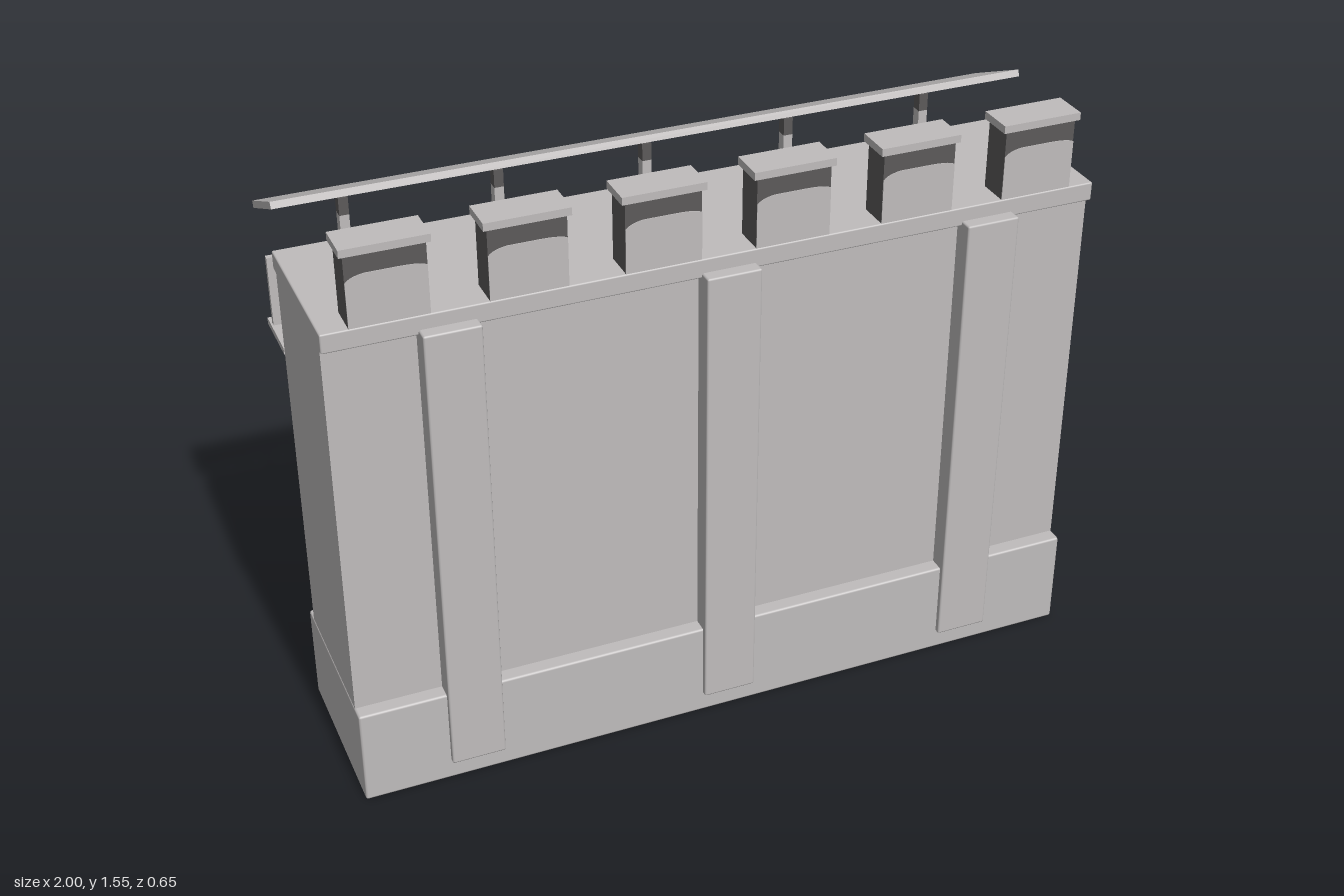
import * as THREE from 'three';
import { RoundedBoxGeometry } from 'three/addons/geometries/RoundedBoxGeometry.js';

export function createModel() {
  const group = new THREE.Group();
  const stone = new THREE.MeshStandardMaterial({ color: 0xbfbcbc });
  stone.name = 'stone grey';
  const dark = new THREE.MeshStandardMaterial({ color: 0x5c5a5a });
  dark.name = 'dark grey';

  const add = (name, geometry, material = stone, parent = group) => {
    const mesh = new THREE.Mesh(geometry, material);
    mesh.name = name;
    parent.add(mesh);
    return mesh;
  };
  // Box given by its x centre and width, and its y and z ranges; bevel is optional
  const block = (name, x, w, y0, y1, z0, z1, material = stone, bevel = 0, parent = group) => {
    const h = y1 - y0, d = z1 - z0;
    const geometry = bevel
      ? new RoundedBoxGeometry(w, h, d, 1, bevel)
      : new THREE.BoxGeometry(w, h, d);
    const mesh = add(name, geometry, material, parent);
    mesh.position.set(x, (y0 + y1) / 2, (z0 + z1) / 2);
    return mesh;
  };
  // Side profile in (z, y), extruded along x and centred on x
  const profile = (name, shape, x, w, parent) => {
    const geometry = new THREE.ExtrudeGeometry(shape, { depth: w, bevelEnabled: false, curveSegments: 6 });
    geometry.translate(0, 0, -w / 2).rotateY(-Math.PI / 2);
    add(name, geometry, stone, parent).position.x = x;
  };

  // Main wall
  block('base', 0, 2, 0, 0.268, -0.17, 0.31, stone, 0.006);
  block('wall', 0, 1.996, 0.26, 1.305, -0.13, 0.27);
  block('wallCap', 0, 2, 1.302, 1.352, -0.15, 0.29, stone, 0.004);
  for (const x of [-0.7, 0, 0.7])
    block('pilaster', x, 0.143, 0.055, 1.315, 0.25, 0.325, stone, 0.005);

  // Battlements: dark blocks with a pale lower front and a pale cap
  const face = new THREE.Shape();
  face.moveTo(-0.0965, 0);
  face.lineTo(0.0965, 0);
  face.lineTo(0.0965, 0.125);
  face.quadraticCurveTo(0.08, 0.134, 0.03, 0.134);
  face.lineTo(-0.05, 0.134);
  face.quadraticCurveTo(-0.085, 0.13, -0.0965, 0.115);
  const faceGeometry = new THREE.ExtrudeGeometry(face, { depth: 0.003, bevelEnabled: false, curveSegments: 5 });
  for (let i = 0; i < 6; i++) {
    const x = (i - 2.5) * 0.334;
    const merlon = new THREE.Group();
    merlon.name = 'merlon';
    group.add(merlon);
    block('merlonBlock', x, 0.193, 1.35, 1.537, 0.203, 0.286, dark, 0, merlon);
    add('merlonFace', faceGeometry, stone, merlon).position.set(x, 1.352, 0.285);
    block('merlonCap', x, 0.213, 1.535, 1.555, 0.195, 0.293, stone, 0, merlon);
  }

  // Walkway along the back with its parapet
  block('walkway', 0, 2, 1.075, 1.092, -0.295, -0.13);
  block('parapet', 0, 1.99, 1.09, 1.28, -0.265, -0.25);

  // Sloping roof
  const roof = add('roof', new THREE.BoxGeometry(2, 0.018, 0.236));
  roof.position.set(0, 1.445, -0.21);
  roof.rotation.x = -0.42;

  // Bracket profiles
  const wedge = new THREE.Shape([
    [-0.13, 1.04], [-0.247, 1.04], [-0.247, 1.026], [-0.2, 1.006], [-0.13, 1.02],
  ].map(([z, y]) => new THREE.Vector2(z, y)));
  const brace = new THREE.Shape();
  brace.moveTo(-0.235, 1.018);
  brace.quadraticCurveTo(-0.155, 0.99, -0.148, 0.922);
  brace.lineTo(-0.13, 0.922);
  brace.quadraticCurveTo(-0.135, 0.985, -0.19, 1.014);

  // Posts that carry the roof and brackets under the walkway
  const postSides = [stone, stone, stone, stone, stone, dark];
  for (let i = -2; i <= 2; i++) {
    const x = i * 0.398;
    block('roofPost', x, 0.025, 1.09, 1.365, -0.266, -0.237, postSides);
    block('roofPostTop', x, 0.025, 1.365, 1.412, -0.266, -0.237, dark);
    const bracket = new THREE.Group();
    bracket.name = 'bracket';
    group.add(bracket);
    block('bracketBlock', x, 0.034, 1.035, 1.076, -0.265, -0.13, stone, 0, bracket);
    profile('bracketWedge', wedge, x, 0.032, bracket);
    profile('bracketBrace', brace, x, 0.024, bracket);
  }
  return group;
}
